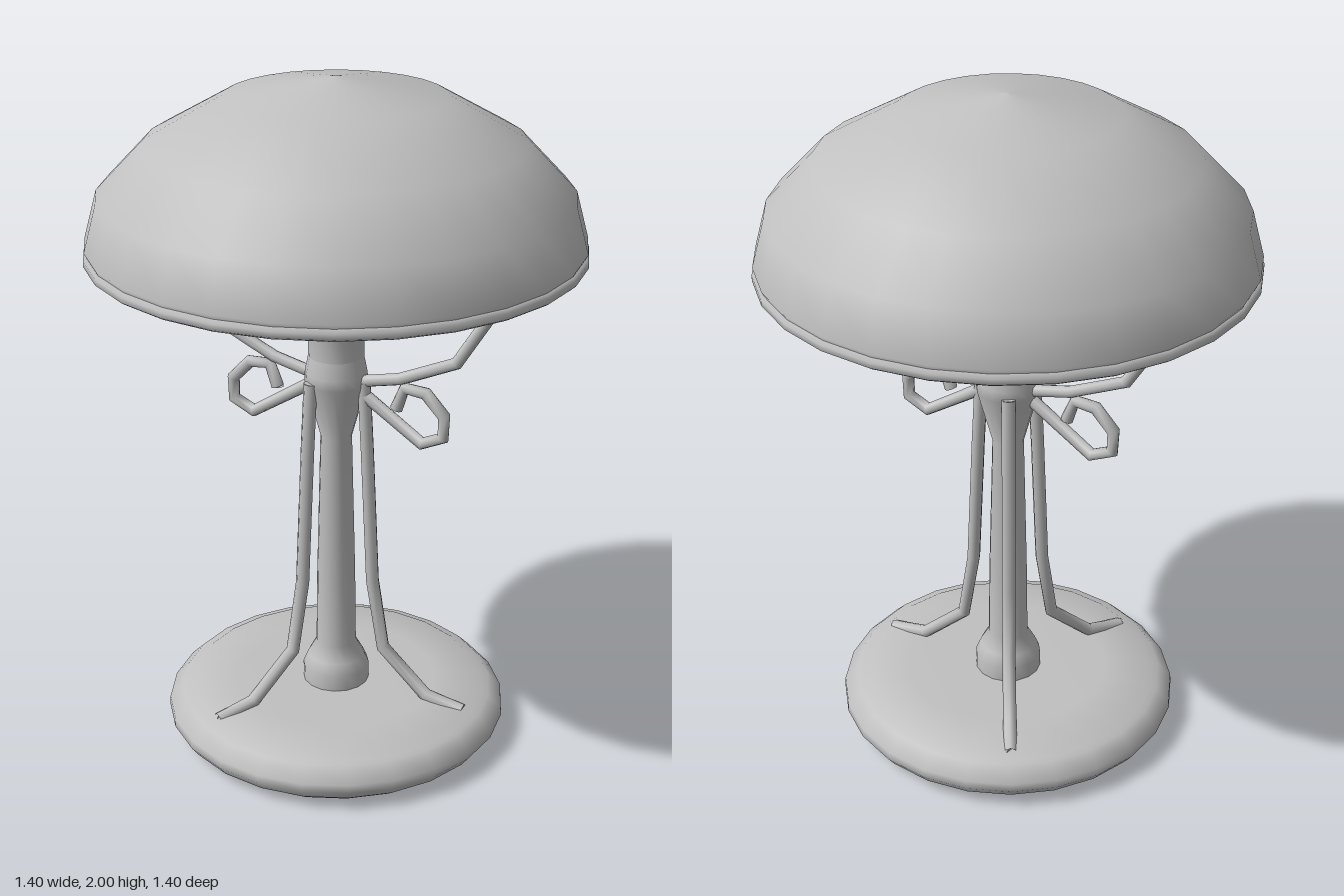
import * as THREE from 'three';
import { toCreasedNormals } from 'three/addons/utils/BufferGeometryUtils.js';

// Straight-segment path whose rings fall exactly on the bend points
class BentPath extends THREE.Curve {
  constructor(points) {
    super();
    this.points = points;
  }
  getPoint(t, target = new THREE.Vector3()) {
    const n = this.points.length - 1;
    const i = Math.min(Math.floor(t * n + 1e-6), n - 1);
    return target.lerpVectors(this.points[i], this.points[i + 1], t * n - i);
  }
  getPointAt(u, target) {
    return this.getPoint(u, target);
  }
  getTangentAt(u, target = new THREE.Vector3()) {
    const p = this.points, n = p.length - 1, i = Math.round(u * n);
    target.set(0, 0, 0);
    if (i > 0) target.add(p[i].clone().sub(p[i - 1]).normalize());
    if (i < n) target.add(p[i + 1].clone().sub(p[i]).normalize());
    return target.normalize();
  }
}

export function createModel() {
  const model = new THREE.Group();
  model.name = 'tableLamp';
  const grey = new THREE.MeshStandardMaterial({ color: 0xc0c0c0, side: THREE.DoubleSide });
  grey.name = 'grey';

  const add = (name, geometry, parent = model) => {
    const mesh = new THREE.Mesh(geometry, grey);
    mesh.name = name;
    parent.add(mesh);
    return mesh;
  };

  // Turned part from [radius, height] pairs, bottom to top
  const turned = (name, profile, sides, crease) => {
    const lathe = new THREE.LatheGeometry(profile.map(([r, y]) => new THREE.Vector2(r, y)), sides);
    return add(name, crease ? toCreasedNormals(lathe, crease) : lathe);
  };

  // Bent rod in the xy plane with flat end caps, turned about the lamp axis
  const rod = (name, coords, radius, angle) => {
    const group = new THREE.Group();
    group.name = name;
    group.rotation.y = angle;
    model.add(group);
    const points = coords.map(([x, y]) => new THREE.Vector3(x, y, 0));
    const path = new BentPath(points);
    add(name + 'Rod', new THREE.TubeGeometry(path, points.length - 1, radius, 8), group);
    [[0, -1], [1, 1]].forEach(([u, sign]) => {
      const cap = add(name + 'End', new THREE.CircleGeometry(radius, 8), group);
      cap.position.copy(path.getPoint(u));
      cap.lookAt(cap.position.clone().addScaledVector(path.getTangentAt(u), sign));
    });
  };

  // Foot with a raised lip and a flat top
  turned('base', [[0, 0], [0.45, 0], [0.49, 0.03], [0.512, 0.06], [0.51, 0.085], [0.47, 0.125],
    [0.45, 0.127], [0.435, 0.138], [0.3, 0.142], [0, 0.142]], 24, 0.75);

  // Column flaring at foot and neck
  turned('column', [[0.1, 0.135], [0.1, 0.19], [0.085, 0.225], [0.06, 0.27], [0.057, 0.5],
    [0.046, 0.95], [0.092, 1.12], [0.09, 1.15], [0.08, 1.2]], 16);

  // Bulb socket with a collar
  turned('socket', [[0, 1.2], [0.08, 1.2], [0.08, 1.34], [0.1, 1.365], [0.1, 1.382], [0.088, 1.392],
    [0.088, 1.53], [0.07, 1.545], [0, 1.545]], 16, 0.7);

  // Thin dome shade, outside then back up the inside
  turned('shade', [[0.685, 1.525], [0.697, 1.55], [0.66, 1.683], [0.524, 1.825], [0.307, 1.947], [0, 2]], 28);
  turned('shadeLining', [[0, 1.985], [0.302, 1.934], [0.515, 1.813], [0.648, 1.676], [0.682, 1.55], [0.67, 1.52]], 28);

  // Rolled rim of the shade
  turned('shadeRim', [[0.665, 1.518], [0.67, 1.508], [0.69, 1.505], [0.7, 1.512], [0.7, 1.528],
    [0.69, 1.54], [0.67, 1.536], [0.665, 1.518]], 28);

  // Three legs spread around the column
  for (let i = 0; i < 3; i++) {
    rod('leg', [[0.088, 1.13], [0.1, 0.92], [0.12, 0.5], [0.157, 0.28], [0.3, 0.15], [0.42, 0.128]],
      0.02, i * Math.PI * 2 / 3);
  }

  // Shade arms and scrolls on both sides
  for (const angle of [0, Math.PI]) {
    rod('shadeArm', [[0.07, 1.13], [0.2, 1.16], [0.37, 1.237], [0.525, 1.487], [0.59, 1.51], [0.685, 1.518]],
      0.018, angle);
    rod('scroll', [[0.07, 1.105], [0.27, 0.975], [0.335, 1.005], [0.337, 1.07], [0.28, 1.13],
      [0.215, 1.135], [0.19, 1.068]], 0.019, angle);
  }

  return model;
}
